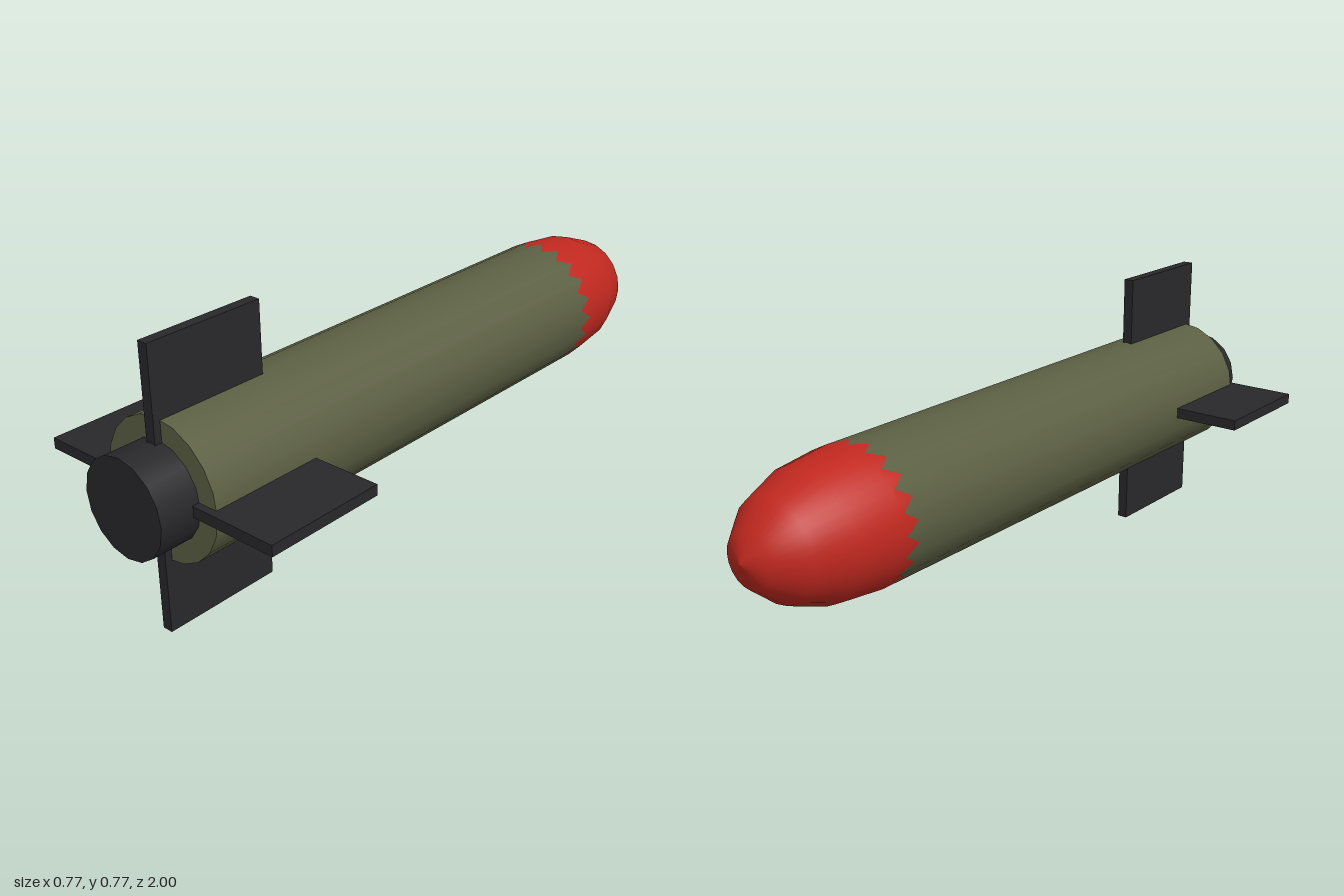
import * as THREE from 'three';

const R = 0.19;        // body radius
const AXIS_Y = 0.385;  // height of the long axis
const SIDES = 20;

const paint = (color) => new THREE.MeshStandardMaterial({ color });

// Cylinder lying along z between two z positions
function tube(name, radius, z0, z1, sides, material) {
  const geo = new THREE.CylinderGeometry(radius, radius, z1 - z0, sides);
  geo.rotateX(-Math.PI / 2);
  const mesh = new THREE.Mesh(geo, material);
  mesh.name = name;
  mesh.position.set(0, AXIS_Y, (z0 + z1) / 2);
  return mesh;
}

// Half-ellipsoid nose whose rear rim forms a zigzag over the body
function noseGeometry() {
  const base = 0.66, length = 0.34, rings = 4;
  const profile = [new THREE.Vector2(R, base - 0.01)];
  for (let i = 0; i <= rings; i++) {
    const a = (i / rings) * Math.PI / 2;
    profile.push(new THREE.Vector2(R * Math.cos(a), base + length * Math.sin(a)));
  }
  const geo = new THREE.LatheGeometry(profile, SIDES * 2);
  const pos = geo.attributes.position;
  for (let i = 0; i <= SIDES * 2; i++) {
    // every other meridian sits on the middle of a body facet
    const odd = i % 2 === 1;
    for (let j = 0; j < profile.length; j++) {
      const k = i * profile.length + j;
      const s = odd ? 0.99 : 1.001;
      const y = j === 0 && odd ? 0.605 : pos.getY(k);
      pos.setXYZ(k, pos.getX(k) * s, y, pos.getZ(k) * s);
    }
  }
  geo.rotateX(-Math.PI / 2);
  return geo;
}

export function createModel() {
  const model = new THREE.Group();
  const green = paint(0x5b5f42), red = paint(0xc0281f), dark = paint(0x28282b);

  model.add(tube('body', R, -0.66, 0.885, SIDES, green));
  model.add(tube('nozzle', 0.133, 0.8, 1, 16, dark));

  const nose = new THREE.Mesh(noseGeometry(), red);
  nose.name = 'nose';
  nose.position.y = AXIS_Y;
  model.add(nose);

  // Four flat fins around the tail
  const inner = 0.1, outer = 0.385;
  const finGeo = new THREE.BoxGeometry(outer - inner, 0.03, 0.345);
  finGeo.translate((inner + outer) / 2, 0, 0.7325);
  for (let i = 0; i < 4; i++) {
    const fin = new THREE.Mesh(finGeo, dark);
    fin.name = 'fin' + (i + 1);
    fin.position.y = AXIS_Y;
    fin.rotation.z = (i * Math.PI) / 2;
    model.add(fin);
  }
  return model;
}
